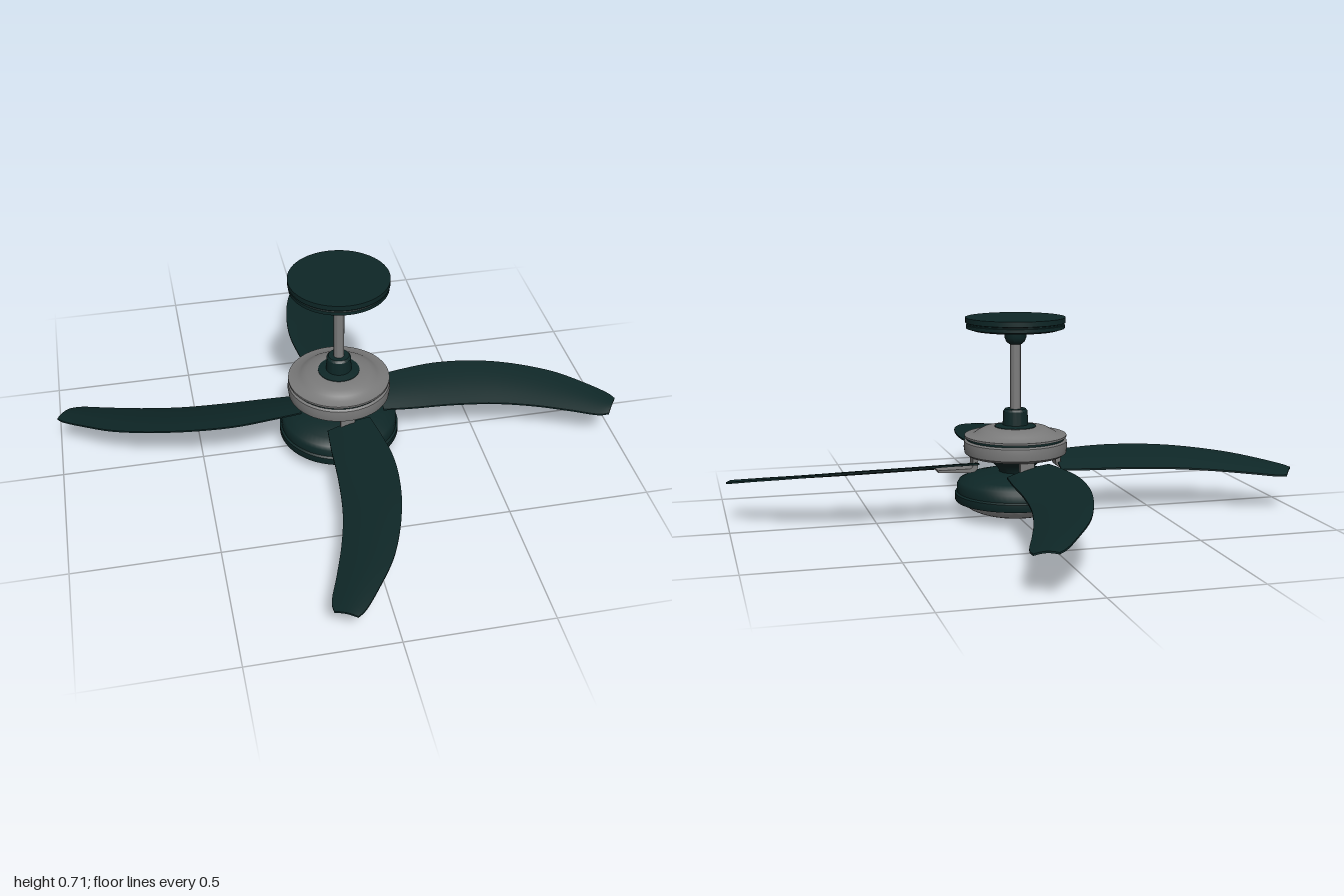
import * as THREE from 'three';
import { toCreasedNormals } from 'three/addons/utils/BufferGeometryUtils.js';

const paint = (name, color) => {
  const m = new THREE.MeshStandardMaterial({ color });
  m.name = name;
  return m;
};

// Solid of revolution; profile is [radius, height] pairs running upward on the outside
function turned(name, profile, material, segments = 64) {
  const pts = profile.map(([r, y]) => new THREE.Vector2(r, y));
  const geo = toCreasedNormals(new THREE.LatheGeometry(pts, segments), 0.6);
  const mesh = new THREE.Mesh(geo, material);
  mesh.name = name;
  return mesh;
}

// Swept, pitched blade lofted between a trailing and a leading edge curve
function bladeGeometry() {
  const edge = (list) => new THREE.CatmullRomCurve3(list.map((p) => new THREE.Vector3(...p)));
  const back = edge([
    [0.15, 0.207, -0.08], [0.25, 0.21, -0.097], [0.4, 0.21, -0.112], [0.6, 0.202, -0.088],
    [0.8, 0.181, -0.018], [0.91, 0.163, 0.055], [0.985, 0.147, 0.118], [1.0, 0.142, 0.142],
  ]);
  const front = edge([
    [0.15, 0.168, 0.07], [0.25, 0.165, 0.077], [0.4, 0.162, 0.083], [0.56, 0.156, 0.1],
    [0.7, 0.148, 0.133], [0.82, 0.139, 0.173], [0.92, 0.131, 0.208], [0.955, 0.13, 0.207],
  ]);
  const stations = 42, across = 8, ring = 2 * (across + 1);
  const pos = [], idx = [];
  for (let s = 0; s <= stations; s++) {
    const a = back.getPoint(s / stations), b = front.getPoint(s / stations);
    for (let k = 0; k < ring; k++) {
      const top = k <= across;
      const u = (top ? k : ring - 1 - k) / across;
      const p = a.clone().lerp(b, u);
      p.y += 0.006 * Math.sin(Math.PI * u) + (top ? 0.003 : -0.003);
      pos.push(p.x, p.y, p.z);
    }
  }
  for (let s = 0; s < stations; s++) {
    for (let k = 0; k < ring; k++) {
      const n = (k + 1) % ring, p = s * ring, q = p + ring;
      idx.push(p + k, p + n, q + k, p + n, q + n, q + k);
    }
  }
  const tip = stations * ring;
  for (let k = 0; k < across; k++) {
    const l = ring - 1 - k;
    idx.push(k, l, k + 1, k + 1, l, l - 1);
    idx.push(tip + k, tip + k + 1, tip + l, tip + k + 1, tip + l - 1, tip + l);
  }
  const geo = new THREE.BufferGeometry();
  geo.setAttribute('position', new THREE.Float32BufferAttribute(pos, 3));
  geo.setIndex(idx);
  return toCreasedNormals(geo, 0.7);
}

// Flat strap that drops from the motor and turns out under the blade
function bracketGeometry() {
  const s = new THREE.Shape();
  s.moveTo(0.142, 0.232);
  s.lineTo(0.142, 0.19);
  s.quadraticCurveTo(0.142, 0.166, 0.17, 0.166);
  s.lineTo(0.285, 0.172);
  s.lineTo(0.285, 0.18);
  s.lineTo(0.175, 0.18);
  s.quadraticCurveTo(0.16, 0.18, 0.16, 0.195);
  s.lineTo(0.16, 0.232);
  s.closePath();
  const geo = new THREE.ExtrudeGeometry(s, { depth: 0.05, bevelEnabled: false, curveSegments: 8 });
  geo.translate(0, 0, -0.025);
  return geo;
}

export function createModel() {
  const fan = new THREE.Group();
  fan.name = 'ceilingFan';
  const dark = paint('darkGreen', 0x0e2727);
  const metal = paint('greyMetal', 0x7a7a7a);
  const glass = paint('lampGlass', 0x9c9c9c);

  // Ceiling mount, rod and coupling
  fan.add(turned('canopy', [
    [0, 0.65], [0.07, 0.652], [0.15, 0.661], [0.172, 0.668], [0.172, 0.68],
    [0.168, 0.682], [0.168, 0.686], [0.175, 0.688], [0.175, 0.706], [0, 0.706],
  ], dark));
  fan.add(turned('canopyCollar', [
    [0, 0.612], [0.022, 0.612], [0.032, 0.62], [0.038, 0.635], [0.04, 0.655], [0, 0.655],
  ], dark, 40));
  fan.add(turned('downRod', [[0, 0.37], [0.019, 0.37], [0.019, 0.63], [0, 0.63]], metal, 32));
  fan.add(turned('coupling', [
    [0, 0.31], [0.075, 0.31], [0.073, 0.322], [0.045, 0.327],
    [0.043, 0.375], [0.037, 0.383], [0, 0.383],
  ], dark, 48));

  // Motor housing with a groove below its top lip
  fan.add(turned('motorHousing', [
    [0, 0.212], [0.12, 0.212], [0.165, 0.218], [0.18, 0.228], [0.183, 0.25], [0.181, 0.27],
    [0.172, 0.276], [0.168, 0.279], [0.168, 0.283], [0.18, 0.284], [0.18, 0.291],
    [0.15, 0.293], [0.136, 0.303], [0.115, 0.314], [0.08, 0.32], [0, 0.32],
  ], metal));
  fan.add(turned('motorGroove', [[0.16, 0.275], [0.173, 0.275], [0.173, 0.285], [0.16, 0.285]], dark));

  // Switch housing neck and lamp holder
  fan.add(turned('neck', [
    [0, 0.15], [0.055, 0.15], [0.06, 0.168], [0.08, 0.19], [0.105, 0.206], [0.108, 0.215], [0, 0.215],
  ], dark));
  fan.add(turned('lampHolder', [
    [0, 0.062], [0.19, 0.062], [0.192, 0.058], [0.213, 0.058], [0.215, 0.062], [0.215, 0.085],
    [0.208, 0.09], [0.208, 0.115], [0.2, 0.128], [0.17, 0.142], [0.12, 0.155], [0.085, 0.16], [0, 0.16],
  ], dark));

  // Shallow lamp bowl
  const bowl = [];
  for (let i = 0; i <= 14; i++) {
    const a = (i / 14) * Math.PI / 2;
    bowl.push([0.192 * Math.sin(a), 0.064 - 0.064 * Math.cos(a)]);
  }
  fan.add(turned('lampBowl', bowl, glass));

  // Four blades with their brackets
  const bladeGeo = bladeGeometry(), bracketGeo = bracketGeometry();
  for (let i = 0; i < 4; i++) {
    const arm = new THREE.Group();
    arm.name = 'bladeArm';
    const blade = new THREE.Mesh(bladeGeo, dark);
    blade.name = 'blade';
    const bracket = new THREE.Mesh(bracketGeo, metal);
    bracket.name = 'bladeBracket';
    arm.add(blade, bracket);
    arm.rotation.y = i * Math.PI / 2;
    fan.add(arm);
  }
  return fan;
}
